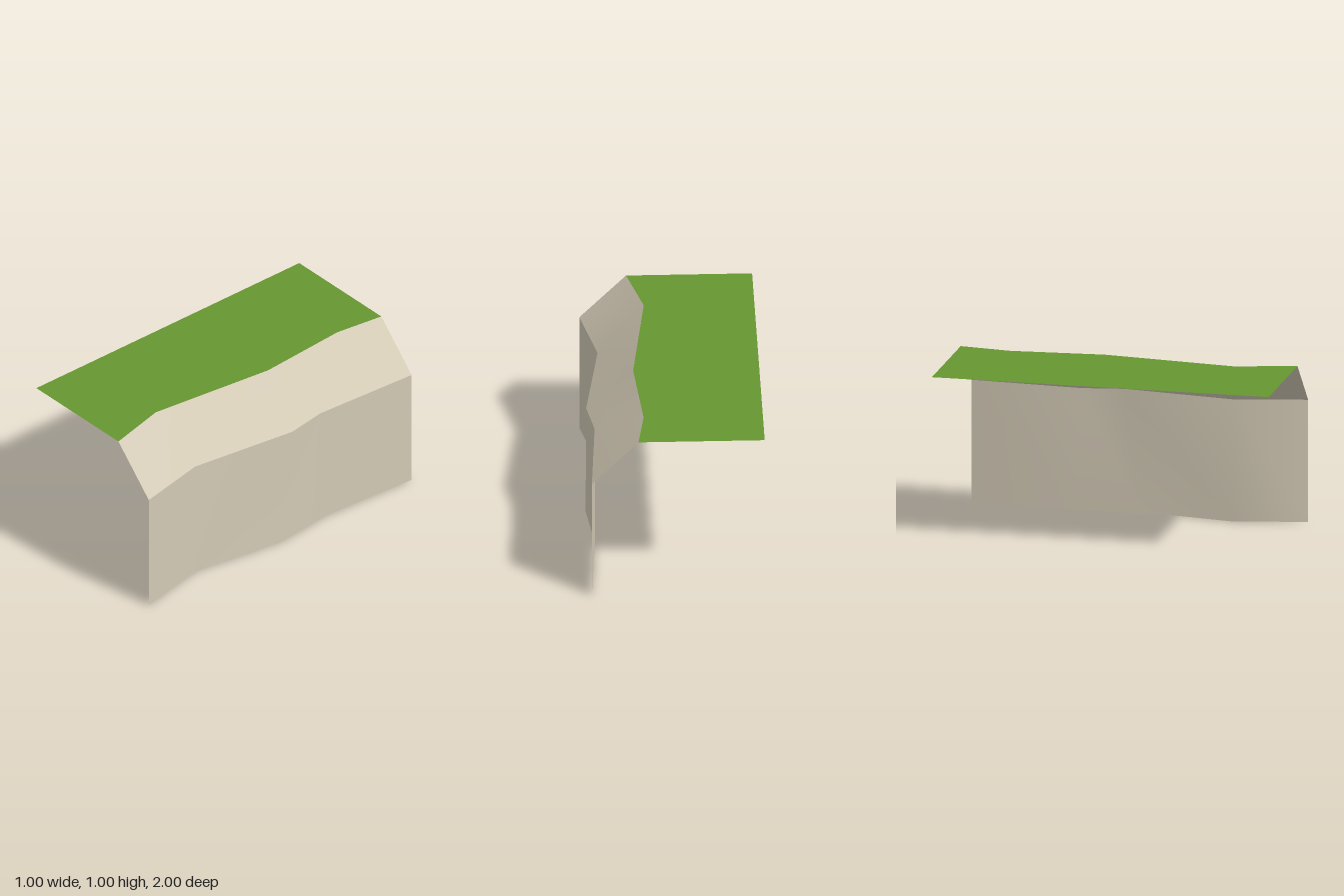
import * as THREE from 'three';

// Edge lines of the cliff, each a list of [x, z] running from front to back
const foot = [[0.5, 1], [0.41, 0.57], [0.5, 0], [0.46, -0.38], [0.5, -1]];
const ledge = [[0.5, 1], [0.41, 0.57], [0.5, -0.09], [0.46, -0.34], [0.5, -1]];
const rim = [[0.23, 1], [0.14, 0.64], [0.23, -0.14], [0.19, -0.7], [0.23, -1]];
const inland = rim.map(([, z]) => [-0.5, z]);

// Smooth surface joining a lower (outer) line to an upper (inner) line
function strip(name, lower, lowerY, upper, upperY, material) {
  const positions = [];
  const index = [];
  lower.forEach(([x, z], i) => {
    positions.push(x, lowerY, z, upper[i][0], upperY, upper[i][1]);
    if (i > 0) {
      const a = 2 * (i - 1);
      index.push(a, a + 2, a + 3, a, a + 3, a + 1);
    }
  });
  const geometry = new THREE.BufferGeometry();
  geometry.setAttribute('position', new THREE.Float32BufferAttribute(positions, 3));
  geometry.setIndex(index);
  geometry.computeVertexNormals();
  const mesh = new THREE.Mesh(geometry, material);
  mesh.name = name;
  return mesh;
}

export function createModel() {
  const stone = new THREE.MeshStandardMaterial({ color: 0xd3cab6, side: THREE.DoubleSide });
  stone.name = 'pale stone';
  const grass = new THREE.MeshStandardMaterial({ color: 0x669630, side: THREE.DoubleSide });
  grass.name = 'grass green';

  const group = new THREE.Group();
  group.name = 'cliffSegment';
  group.add(
    strip('cliffWall', foot, 0, ledge, 0.73, stone),
    strip('cliffSlope', ledge, 0.73, rim, 1, stone),
    strip('grassTop', rim, 1, inland, 1, grass),
  );
  return group;
}
